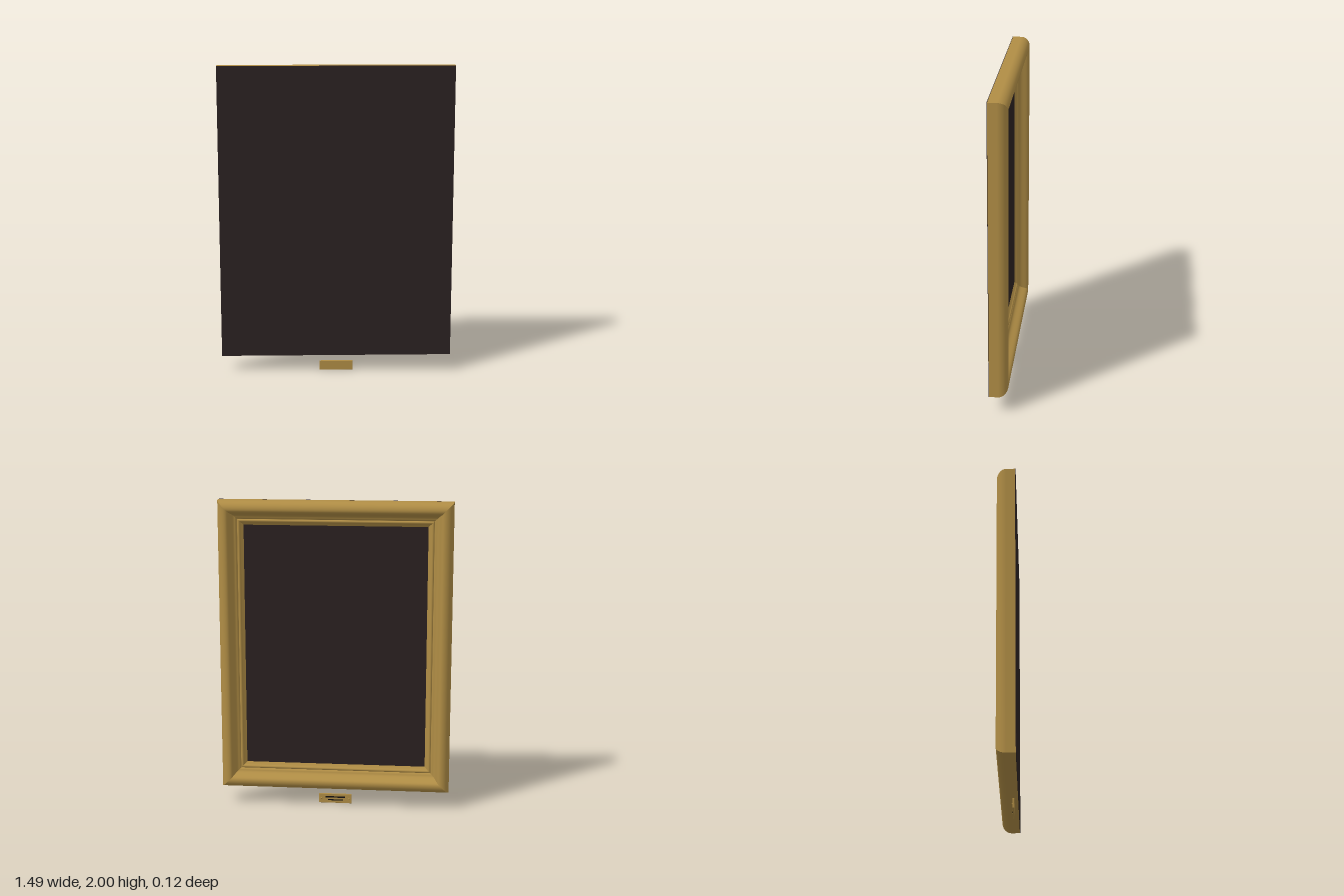
import * as THREE from 'three';
import { RoundedBoxGeometry } from 'three/addons/geometries/RoundedBoxGeometry.js';

const W = 0.745, H = 0.945, CY = 1.055; // half width, half height, centre height
const BACK = 0.056;                     // plane where moulding meets backing
const CANVAS_Z = 0.03;

const gold = new THREE.MeshStandardMaterial({ color: 0xb08d45 });
gold.name = 'gold';
const dark = new THREE.MeshStandardMaterial({ color: 0x2b2121 });
dark.name = 'dark brown';
const ink = new THREE.MeshStandardMaterial({ color: 0x141010 });
ink.name = 'black';

function add(parent, name, geometry, material, x = 0, y = 0, z = 0) {
  const mesh = new THREE.Mesh(geometry, material);
  mesh.name = name;
  mesh.position.set(x, y, z);
  parent.add(mesh);
  return mesh;
}

// Moulding section: x is the inset from the outer edge, y is depth z
function mouldingProfile() {
  const path = new THREE.Path();
  path.moveTo(0, BACK);
  path.lineTo(0, 0.0);
  path.bezierCurveTo(0, -0.03, 0.022, -0.059, 0.052, -0.059);
  path.bezierCurveTo(0.088, -0.059, 0.078, 0.004, 0.115, 0.006);
  path.lineTo(0.12, 0.016);
  path.bezierCurveTo(0.124, 0.005, 0.138, 0.005, 0.142, 0.018);
  path.lineTo(0.162, CANVAS_Z + 0.002);
  return path.getPoints(12);
}

// One mitred rail between two corners, smooth along its section
function railGeometry(profile, from, to) {
  const positions = [], index = [];
  profile.forEach((p, i) => {
    for (const [sx, sy] of [from, to]) {
      positions.push(sx * (W - p.x), CY + sy * (H - p.x), p.y);
    }
    if (i === 0) return;
    const a = 2 * (i - 1);
    index.push(a, a + 2, a + 1, a + 1, a + 2, a + 3);
  });
  const geometry = new THREE.BufferGeometry();
  geometry.setAttribute('position', new THREE.Float32BufferAttribute(positions, 3));
  geometry.setIndex(index);
  geometry.computeVertexNormals();
  return geometry;
}

export function createModel() {
  const model = new THREE.Group();
  model.name = 'framedPicture';

  // Four mitred rails; the decorated side looks towards -z
  const frame = new THREE.Group();
  frame.name = 'frame';
  model.add(frame);
  const profile = mouldingProfile();
  const corners = [[1, 1], [-1, 1], [-1, -1], [1, -1]];
  ['topRail', 'rightRail', 'bottomRail', 'leftRail'].forEach((name, k) => {
    add(frame, name, railGeometry(profile, corners[k], corners[(k + 1) % 4]), gold);
  });

  // Backing board and dark picture panel
  add(model, 'backingBoard', new THREE.BoxGeometry(2 * W, 2 * H, 0.003), dark, 0, CY, BACK + 0.0015);
  add(model, 'picturePanel', new THREE.BoxGeometry(1.18, 1.58, 0.006), dark, 0, CY, CANVAS_Z + 0.003);

  // Small plaque below the frame, with two plain bars and two screws
  const plaque = new THREE.Group();
  plaque.name = 'plaque';
  plaque.position.set(0, 0.0315, 0.03);
  model.add(plaque);
  add(plaque, 'plaquePlate', new RoundedBoxGeometry(0.216, 0.063, 0.012, 2, 0.003), gold);
  add(plaque, 'upperBar', new THREE.BoxGeometry(0.13, 0.009, 0.002), ink, 0, 0.01, -0.0065);
  add(plaque, 'lowerBar', new THREE.BoxGeometry(0.1, 0.007, 0.002), ink, 0, -0.01, -0.0065);
  for (const side of [-1, 1]) {
    const screw = add(plaque, 'screw', new THREE.SphereGeometry(0.006, 12, 8), gold, side * 0.092, 0, -0.006);
    screw.scale.z = 0.9;
  }
  return model;
}
